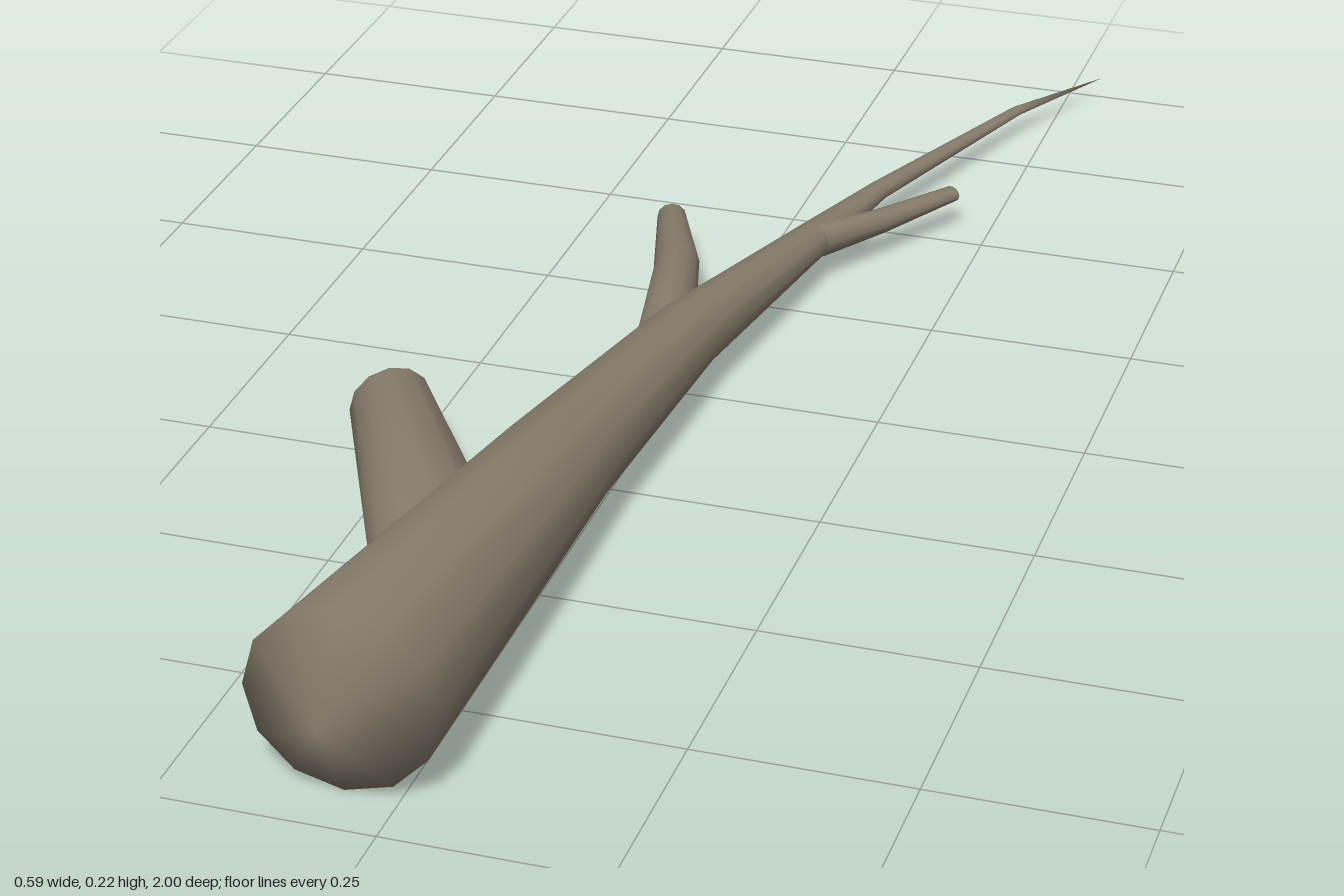
import * as THREE from 'three';
import { mergeVertices } from 'three/addons/utils/BufferGeometryUtils.js';

const SIDES = 12;

// Skin a limb from rings given as [leftX, leftZ, rightX, rightZ, centreY, halfHeight].
// A ring whose left and right points coincide closes the limb to a point.
function limb(name, rings, material) {
  const positions = [], index = [];
  rings.forEach(([lx, lz, rx, rz, y, h], r) => {
    for (let i = 0; i < SIDES; i++) {
      const a = (i / SIDES) * Math.PI * 2, c = Math.cos(a) / 2;
      positions.push((lx + rx) / 2 + (rx - lx) * c, y + h * Math.sin(a), (lz + rz) / 2 + (rz - lz) * c);
      if (r === 0) continue;
      const j = (i + 1) % SIDES, p = (r - 1) * SIDES, q = r * SIDES;
      index.push(p + i, q + i, p + j, p + j, q + i, q + j);
    }
  });
  let geometry = new THREE.BufferGeometry();
  geometry.setAttribute('position', new THREE.Float32BufferAttribute(positions, 3));
  geometry.setIndex(index);
  geometry = mergeVertices(geometry, 1e-5);
  geometry.computeVertexNormals();
  const mesh = new THREE.Mesh(geometry, material);
  mesh.name = name;
  return mesh;
}

// Closing point of a limb
const point = (x, y, z) => [x, z, x, z, y, 0];
// Ring square to the z axis
const ring = (x, y, z, r) => [x - r, z, x + r, z, y, r];

export function createModel() {
  const group = new THREE.Group();
  group.name = 'branch';
  const bark = new THREE.MeshStandardMaterial({ color: 0x887e6d });

  // Main stem: blunt pointed butt, tapering and curving to a fine tip
  group.add(limb('mainStem', [
    point(-0.062, 0.112, 1),
    ring(-0.062, 0.11, 0.93, 0.108),
    ring(-0.029, 0.088, 0.35, 0.066),
    ring(0.006, 0.075, 0, 0.045),
    [0.044, -0.34, 0.094, -0.33, 0.058, 0.023],
    [0.092, -0.525, 0.12, -0.515, 0.049, 0.012],
    [0.205, -0.842, 0.22, -0.836, 0.039, 0.006],
    point(0.294, 0.03, -1),
  ], bark));

  // Thick cut-off stub on the right
  group.add(limb('thickStub', [
    point(-0.06, 0.09, 0.64),
    [-0.12, 0.69, -0.005, 0.575, 0.092, 0.068],
    [-0.3, 0.3, -0.225, 0.235, 0.083, 0.044],
    point(-0.263, 0.083, 0.267),
  ], bark));

  // Slim twig on the right
  group.add(limb('rightTwig', [
    point(-0.015, 0.073, 0.005),
    [-0.05, 0.0, 0.022, 0.0, 0.073, 0.038],
    [-0.09, -0.19, -0.042, -0.225, 0.065, 0.025],
    [-0.135, -0.345, -0.1, -0.356, 0.058, 0.018],
    point(-0.118, 0.058, -0.351),
  ], bark));

  // Slim twig on the left
  group.add(limb('leftTwig', [
    point(0.078, 0.058, -0.335),
    [0.06, -0.345, 0.096, -0.333, 0.058, 0.022],
    [0.122, -0.438, 0.148, -0.422, 0.052, 0.016],
    [0.19, -0.545, 0.211, -0.535, 0.05, 0.01],
    point(0.201, 0.05, -0.541),
  ], bark));

  return group;
}
